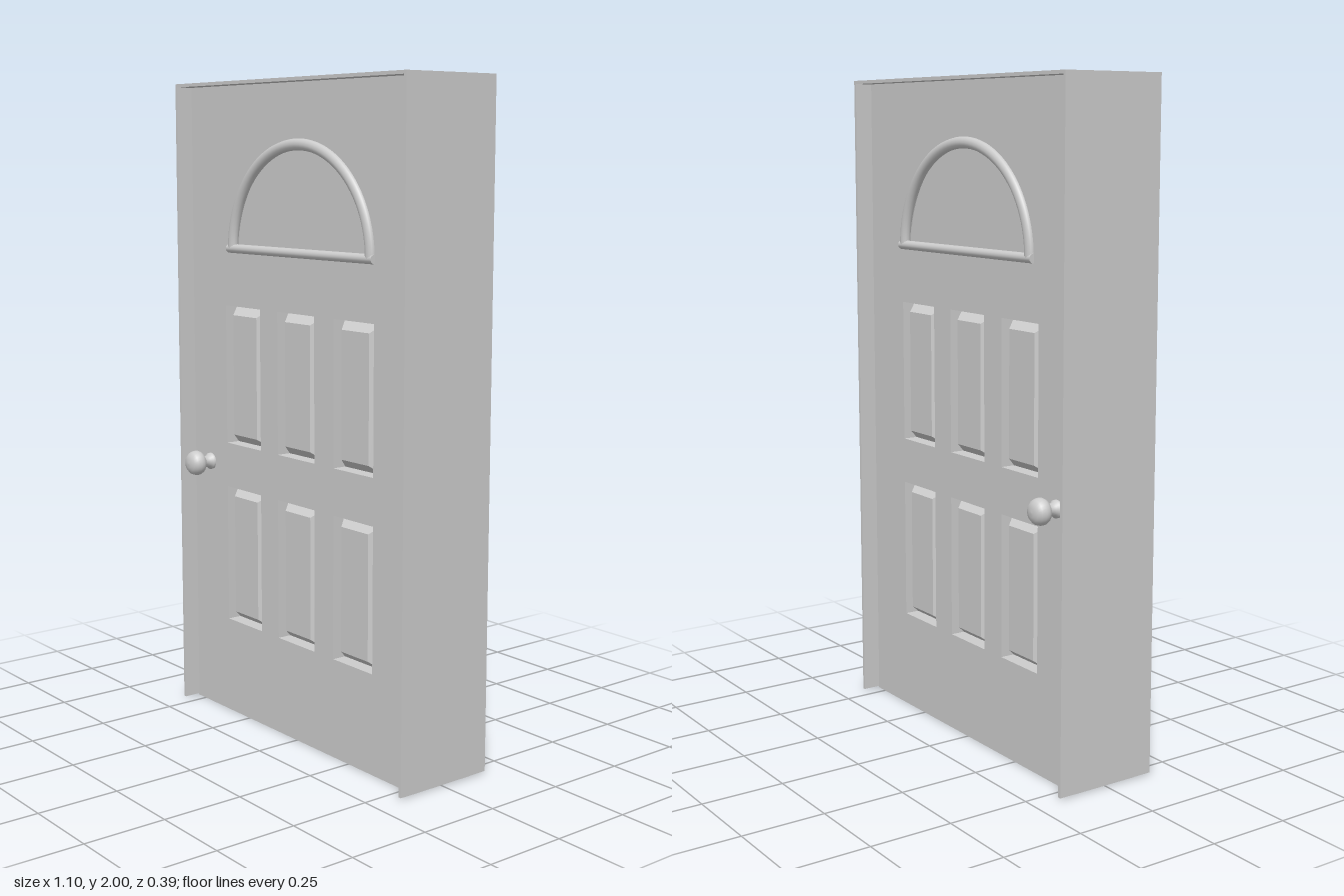
import * as THREE from 'three';

const W = 1.08, H = 1.99, HALF = 0.108, POCKET = 0.045;
const COLS = [-0.27, -0.002, 0.268];
const ROWS = [0.523, 1.1];
const PW = 0.18, PH = 0.436;
const FAN = { x: 0.012, y: 1.497, rx: 0.33, ry: 0.315 };

const material = new THREE.MeshStandardMaterial({ color: 0xcccccc });

function add(parent, name, geometry, x = 0, y = 0, z = 0) {
  const mesh = new THREE.Mesh(geometry, material);
  mesh.name = name;
  mesh.position.set(x, y, z);
  parent.add(mesh);
  return mesh;
}

// Door skin with six rectangular pockets and a half-round fanlight pocket
function skinGeometry() {
  const s = new THREE.Shape();
  s.moveTo(-W / 2, 0).lineTo(W / 2, 0).lineTo(W / 2, H).lineTo(-W / 2, H).closePath();
  for (const x of COLS) for (const y of ROWS) {
    const p = new THREE.Path();
    p.moveTo(x - PW / 2, y - PH / 2).lineTo(x - PW / 2, y + PH / 2)
      .lineTo(x + PW / 2, y + PH / 2).lineTo(x + PW / 2, y - PH / 2).closePath();
    s.holes.push(p);
  }
  const fan = new THREE.Path();
  fan.moveTo(FAN.x + FAN.rx, FAN.y);
  fan.absellipse(FAN.x, FAN.y, FAN.rx, FAN.ry, 0, Math.PI, false, 0);
  fan.closePath();
  s.holes.push(fan);
  return new THREE.ExtrudeGeometry(s, { depth: POCKET, bevelEnabled: false, curveSegments: 32 });
}

// Raised panel: a box whose front face is drawn inward to form the bevels
function panelGeometry() {
  const depth = 0.038, bevel = 0.029;
  const g = new THREE.BoxGeometry(PW, PH, depth);
  const p = g.attributes.position;
  for (let i = 0; i < p.count; i++) if (p.getZ(i) > 0) {
    p.setX(i, p.getX(i) - Math.sign(p.getX(i)) * bevel);
    p.setY(i, p.getY(i) - Math.sign(p.getY(i)) * bevel);
  }
  g.translate(0, 0, depth / 2);
  g.computeVertexNormals();
  return g;
}

// Knob turned around z: rose, neck and flattened round head
function knobGeometry() {
  const pts = [[0.026, 0], [0.026, 0.008], [0.019, 0.015], [0.017, 0.03], [0.024, 0.036],
    [0.034, 0.043], [0.039, 0.053], [0.039, 0.063], [0.035, 0.075], [0.026, 0.084],
    [0.013, 0.088], [0, 0.089]].map(([r, h]) => new THREE.Vector2(r, h));
  return new THREE.LatheGeometry(pts, 28).rotateX(Math.PI / 2);
}

// Everything on one face of the door; sign flips the x layout for the back
function doorFace(name, sign, skin, panel, knob) {
  const face = new THREE.Group();
  face.name = name;
  const floor = HALF - POCKET;
  const fanX = FAN.x * sign;
  const skinMesh = add(face, 'doorSkin', skin, 0, 0, floor);
  if (sign < 0) {
    skinMesh.geometry = skin.clone().rotateY(Math.PI).translate(0, 0, POCKET);
  }
  for (const x of COLS) for (const y of ROWS) add(face, 'raisedPanel', panel, x * sign, y, floor);

  // Fanlight pane, arch moulding and sill moulding
  const pane = new THREE.Shape();
  pane.absellipse(0, 0, FAN.rx, FAN.ry, 0, Math.PI, false, 0);
  add(face, 'fanlightPane', new THREE.ShapeGeometry(pane, 32), fanX, FAN.y, HALF - 0.022);
  const arch = add(face, 'fanlightArch', new THREE.TorusGeometry(FAN.rx, 0.018, 12, 48, Math.PI),
    fanX, FAN.y, HALF);
  arch.scale.set(1, FAN.ry / FAN.rx, 0.85);
  const sill = add(face, 'fanlightSill',
    new THREE.CylinderGeometry(0.014, 0.014, 0.696, 14).rotateZ(Math.PI / 2), fanX, FAN.y, HALF);
  sill.scale.z = 1.1;

  add(face, 'knob', knob, -0.45 * sign, 0.81, HALF);
  if (sign < 0) face.rotation.y = Math.PI;
  return face;
}

export function createModel() {
  const model = new THREE.Group();
  model.name = 'panelledDoor';

  // Thin frame, open at the bottom
  const frame = new THREE.Group();
  frame.name = 'frame';
  for (const side of [-1, 1]) {
    add(frame, side > 0 ? 'leftJamb' : 'rightJamb',
      new THREE.BoxGeometry(0.01, 1.985, 0.325), side * 0.543, 0.9975, -0.0025);
  }
  add(frame, 'headJamb', new THREE.BoxGeometry(1.096, 0.01, 0.325), 0, 1.995, -0.0025);
  model.add(frame);

  // Door leaf: solid core between two matching faces
  const door = new THREE.Group();
  door.name = 'door';
  door.position.z = -0.0015;
  add(door, 'doorCore', new THREE.BoxGeometry(W, H, 2 * (HALF - POCKET)), 0, H / 2, 0);
  const skin = skinGeometry(), panel = panelGeometry(), knob = knobGeometry();
  door.add(doorFace('frontFace', 1, skin, panel, knob));
  door.add(doorFace('backFace', -1, skin, panel, knob));
  model.add(door);
  return model;
}
